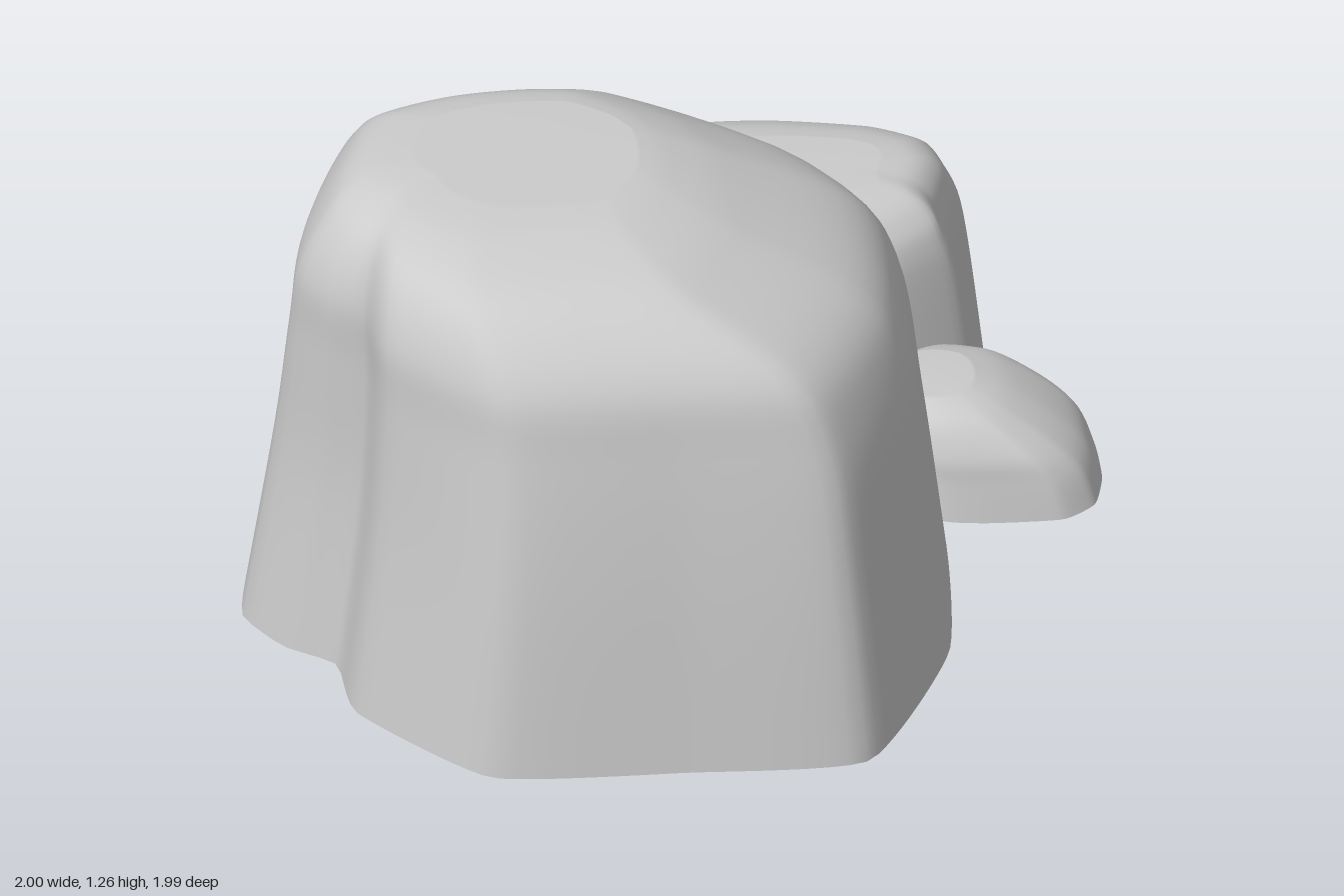
import * as THREE from 'three';

const SEGMENTS = 120, STEPS = 6;
const BASE = .035;
const lerp = THREE.MathUtils.lerp;

// Smooth curve through p1 and p2, at t between them
function spline(p0, p1, p2, p3, t) {
  const m1 = (p2 - p0) / 2, m2 = (p3 - p1) / 2, d = p1 - p2;
  return ((2 * d + m1 + m2) * t - 3 * d - 2 * m1 - m2) * t * t + m1 * t + p1;
}

// A rock is a ground plan of [x, z] points, fitted into a box at each height and
// rounded off towards the crown. Levels from bottom to top: [y, xMin, xMax, zMin, zMax]
function makeRock(name, plan, levels, crownRound) {
  const curve = new THREE.CatmullRomCurve3(
    plan.map(([x, z]) => new THREE.Vector3(x, 0, z)), true, 'catmullrom', .25);
  const [, left, right, back, front] = levels[0];
  const unit = curve.getSpacedPoints(SEGMENTS).slice(0, SEGMENTS)
    .map((p) => [(p.x - left) / (right - left) - .5, (p.z - back) / (front - back) - .5]);

  const last = levels.length - 1;
  const level = (k) => levels[THREE.MathUtils.clamp(k, 0, last)];
  const rings = [];
  for (let j = 0; j <= last * STEPS; j++) {
    const k = Math.floor(j / STEPS), t = (j % STEPS) / STEPS;
    const [y, x0, x1, z0, z1] = level(k).map((v, i) =>
      spline(level(k - 1)[i], v, level(k + 1)[i], level(k + 2)[i], t));
    const round = crownRound * ((y - BASE) / (level(last)[0] - BASE)) ** 3;
    rings.push(unit.map(([u, v]) => {
      const s = lerp(1, .49 / Math.hypot(u, v), round);
      return [lerp(x0, x1, u * s + .5), y, lerp(z0, z1, v * s + .5)];
    }));
  }
  return { name, rings };
}

// Tall rock with a steep groove on its front right corner
function largeRock() {
  const plan = [[-1, .3], [-.98, .1], [-.89, -.27], [-.69, -.35], [-.47, -.4], [-.1, -.44], [.16, -.44],
    [.46, -.25], [.62, -.02], [.62, .5], [.42, .945], [0, .98], [-.45, .985], [-.75, .71], [-.79, .51], [-.91, .43]];
  const levels = [
    [BASE, -1, .62, -.45, .985],
    [.5, -.93, .565, -.41, .96],
    [.85, -.895, .52, -.3, .928],
    [1.04, -.875, .42, -.225, .895],
    [1.18, -.805, .15, -.135, .775],
    [1.24, -.725, -.01, -.06, .6],
    [1.26, -.6, -.09, .02, .45],
  ];
  return makeRock('largeRock', plan, levels, .4);
}

// Middle rock behind, its rim dipping to the ground at one corner
function backRock() {
  const plan = [[-.13, -.46], [-.2, -.52], [-.16, -.69], [.01, -.98], [.25, -.995], [.55, -.95],
    [.7, -.87], [.74, -.74], [.7, -.56], [.71, -.44], [.5, -.28], [.2, -.29]];
  const levels = [
    [BASE, -.2, .74, -.995, -.28],
    [.42, -.17, .695, -.96, -.285],
    [.55, -.14, .66, -.9, -.295],
    [.61, -.1, .63, -.84, -.335],
    [.645, -.03, .58, -.77, -.385],
    [.66, .1, .5, -.7, -.46],
  ];
  const rock = makeRock('backRock', plan, levels, .12);
  const [cx, cz] = plan[0];
  for (const p of rock.rings[0]) {
    p[1] = Math.min(BASE, .07 * Math.hypot(p[0] - cx, p[2] - cz));
  }
  return rock;
}

// Low rock at the side
function sideRock() {
  const plan = [[.47, -.3], [.66, -.42], [.92, -.415], [.98, -.35], [.995, -.2], [.975, -.09],
    [.9, -.03], [.72, -.02], [.6, -.045]];
  const levels = [
    [BASE, .47, .995, -.42, -.02],
    [.13, .475, .96, -.418, -.028],
    [.2, .48, .895, -.415, -.036],
    [.275, .49, .785, -.4, -.075],
    [.31, .51, .7, -.33, -.14],
  ];
  return makeRock('sideRock', plan, levels, .7);
}

// True when a point lies within a rock
function inside({ rings }, [x, y, z]) {
  const h = Math.max(y, BASE);
  const j = rings.findIndex((ring) => ring[0][1] > h);
  if (j < 1) return false;
  const low = rings[j - 1], high = rings[j];
  const t = (h - low[0][1]) / (high[0][1] - low[0][1]);
  const section = low.map((p, i) => [lerp(p[0], high[i][0], t), lerp(p[2], high[i][2], t)]);
  let hit = false;
  section.forEach(([ax, az], i) => {
    const [bx, bz] = section[(i + 1) % SEGMENTS];
    if ((az > z) !== (bz > z) && x < ax + (bx - ax) * (z - az) / (bz - az)) hit = !hit;
  });
  return hit;
}

// Open-bottomed shell, without the areas buried in the other rocks
function rockGeometry({ rings }, others) {
  const points = rings.flat();
  const top = rings.at(-1);
  // the crown closes at one middle point
  const middle = (axis) => top.reduce((sum, p) => sum + p[axis], 0) / SEGMENTS;
  const crown = points.push([middle(0), top[0][1], middle(2)]) - 1;

  const faces = [];
  rings.forEach((ring, j) => {
    for (let i = 0; i < SEGMENTS; i++) {
      const a = j * SEGMENTS + i, b = j * SEGMENTS + (i + 1) % SEGMENTS;
      if (ring === top) faces.push([a, crown, b]);
      else faces.push([a, a + SEGMENTS, b], [b, a + SEGMENTS, b + SEGMENTS]);
    }
  });
  const geometry = new THREE.BufferGeometry();
  geometry.setAttribute('position', new THREE.Float32BufferAttribute(points.flat(), 3));
  geometry.setIndex(faces.flat());
  geometry.computeVertexNormals();
  const buried = points.map((p) => others.some((o) => inside(o, p)));
  geometry.setIndex(faces.filter((f) => !f.every((v) => buried[v])).flat());
  return geometry;
}

export function createModel() {
  const group = new THREE.Group();
  group.name = 'rocks';
  const material = new THREE.MeshStandardMaterial({ color: 0xcccccc, side: THREE.DoubleSide });
  const rocks = [largeRock(), backRock(), sideRock()];
  for (const rock of rocks) {
    const mesh = new THREE.Mesh(rockGeometry(rock, rocks.filter((o) => o !== rock)), material);
    mesh.name = rock.name;
    group.add(mesh);
  }
  return group;
}
